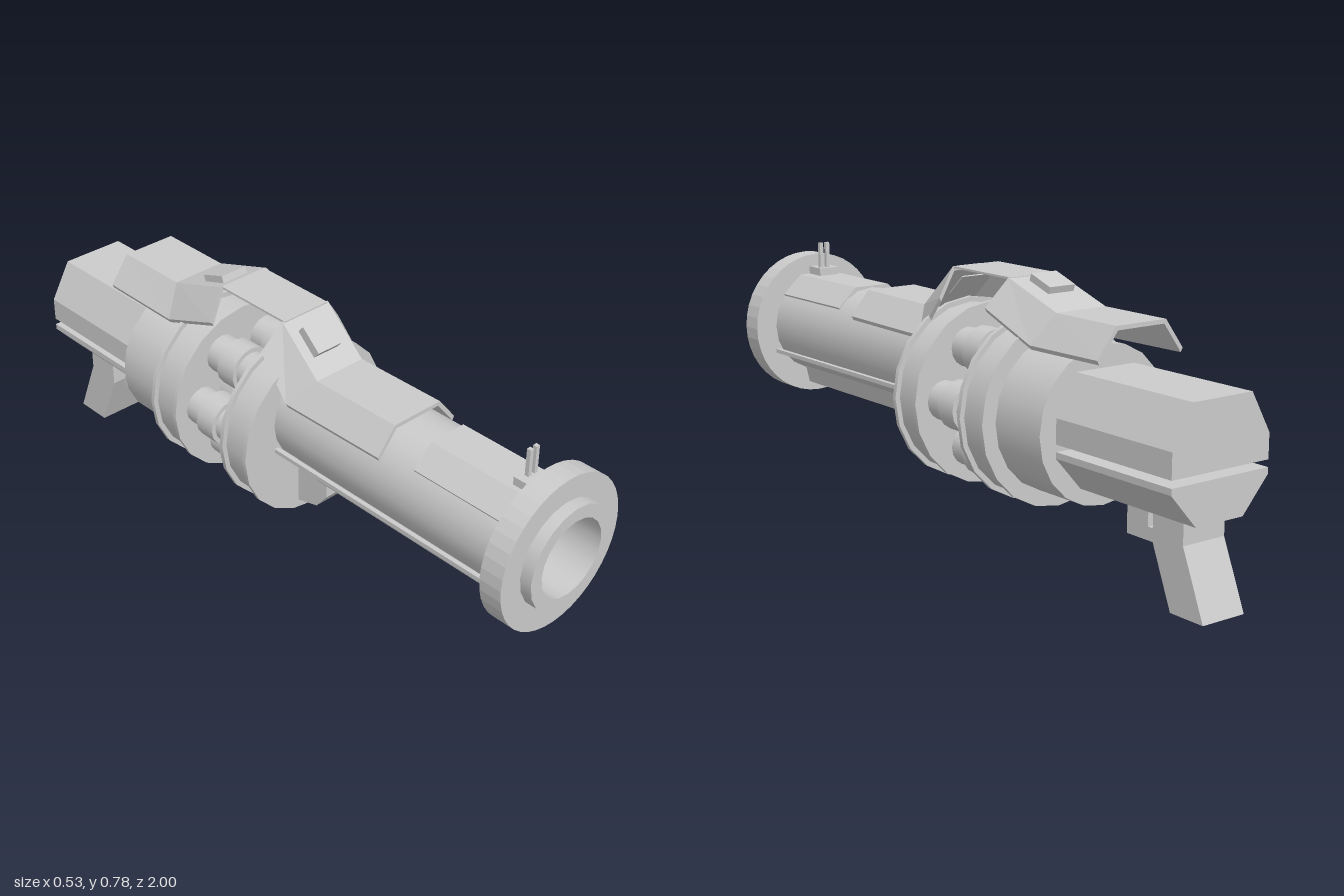
import * as THREE from 'three';

const material = new THREE.MeshStandardMaterial({ color: 0xcccccc });
const sheet = new THREE.MeshStandardMaterial({ color: 0xcccccc, flatShading: true, side: THREE.DoubleSide });
const BARREL_Y = 0.478, DRUM_Y = 0.408;

export function createModel() {
  const model = new THREE.Group();
  model.name = 'launcher';

  const add = (name, geometry, mat = material) => {
    const mesh = new THREE.Mesh(geometry, mat);
    mesh.name = name;
    model.add(mesh);
    return mesh;
  };
  // Cylinder lying along z between z0 and z1
  const rod = (name, r, z0, z1, y, x = 0, sides = 20) => {
    const g = new THREE.CylinderGeometry(r, r, Math.abs(z1 - z0), sides).rotateX(Math.PI / 2);
    return add(name, g.translate(x, y, (z0 + z1) / 2));
  };
  const box = (name, w, h, d, x, y, z, tilt = 0) => {
    const mesh = add(name, new THREE.BoxGeometry(w, h, d));
    mesh.position.set(x, y, z);
    mesh.rotation.x = tilt;
    return mesh;
  };
  const extrude = (points, depth) => new THREE.ExtrudeGeometry(
    new THREE.Shape(points.map(p => new THREE.Vector2(...p))), { depth, bevelEnabled: false });
  // Side outline given as (z, y), widened across x
  const sidePart = (name, points, width, x = 0) =>
    add(name, extrude(points, width).rotateY(-Math.PI / 2).translate(x + width / 2, 0, 0));
  // Mirrored cross-section given as (x, y) for the +x half, run along z
  const prism = (name, half, z0, z1) => {
    const points = [...half, ...half.map(([x, y]) => [-x, y]).reverse()];
    return add(name, extrude(points, z1 - z0).translate(0, 0, z0));
  };
  // Bent trapezoid plate; each station is [zTop, yTop, zLow, yLow], front to back
  const plate = (name, stations, topHalf, lowHalf, t = 0.012) => {
    const rings = stations.map(([zt, yt, zl, yl]) => {
      const outer = [[-lowHalf, yl, zl], [-topHalf, yt, zt], [topHalf, yt, zt], [lowHalf, yl, zl]];
      const inner = outer.map(([x, y, z]) => [x - Math.sign(x) * t * 0.5, y - t, z]).reverse();
      return [...outer, ...inner];
    });
    const pos = [];
    const quad = (a, b, c, d) => pos.push(...a, ...b, ...c, ...a, ...c, ...d);
    for (let i = 0; i < rings.length - 1; i++) {
      for (let j = 0; j < 8; j++) {
        const k = (j + 1) % 8;
        quad(rings[i][j], rings[i][k], rings[i + 1][k], rings[i + 1][j]);
      }
    }
    const first = rings[0], last = rings[rings.length - 1];
    for (let j = 0; j < 3; j++) {
      quad(first[j], first[7 - j], first[6 - j], first[j + 1]);
      quad(last[j], last[j + 1], last[6 - j], last[7 - j]);
    }
    const g = new THREE.BufferGeometry();
    g.setAttribute('position', new THREE.Float32BufferAttribute(pos, 3));
    g.computeVertexNormals();
    return add(name, g, sheet);
  };

  // Barrel: outer tube, muzzle lip, bore and its floor
  const tube = (name, r, z0, z1, mat) => add(name,
    new THREE.CylinderGeometry(r, r, z1 - z0, 20, 1, true).rotateX(Math.PI / 2)
      .translate(0, BARREL_Y, (z0 + z1) / 2), mat);
  const inside = new THREE.MeshStandardMaterial({ color: 0xcccccc, side: THREE.DoubleSide });
  tube('barrel', 0.155, 0.05, 1);
  tube('bore', 0.115, 0.1, 1, inside);
  add('muzzleLip', new THREE.RingGeometry(0.115, 0.155, 20).translate(0, BARREL_Y, 1));
  add('boreFloor', new THREE.CircleGeometry(0.115, 20).translate(0, BARREL_Y, 0.1));

  // Muzzle collar as a ring round the barrel
  const collar = new THREE.Shape().absarc(0, 0, 0.226, 0, Math.PI * 2);
  collar.holes.push(new THREE.Path().absarc(0, 0, 0.15, 0, Math.PI * 2, true));
  add('muzzleCollar', new THREE.ExtrudeGeometry(collar, { depth: 0.07, bevelEnabled: false, curveSegments: 20 })
    .translate(0, 0.475, 0.895));

  // Rails and fairing under the barrel
  prism('underRail', [[0.085, 0.36], [0.07, 0.295]], 0.15, 0.836);
  for (const s of [1, -1]) box('sideRail', 0.014, 0.012, 0.83, s * 0.15, 0.397, 0.48);
  sidePart('lowerFairing', [[0.18, 0.33], [0.18, 0.25], [0.14, 0.2], [0.05, 0.175], [0.05, 0.33]], 0.13);

  // Front sight on the barrel cover
  plate('barrelCover', [[0.9, 0.638, 0.9, 0.58], [0.565, 0.638, 0.565, 0.58]], 0.06, 0.123);
  box('sightBase', 0.07, 0.03, 0.07, -0.01, 0.647, 0.865);
  for (const x of [-0.014, 0.009]) box('sightPost', 0.012, 0.085, 0.012, x, 0.7, 0.85);

  // Drum end discs, each with two thin rims
  for (const [z0, z1] of [[0.062, -0.048], [-0.243, -0.355]]) {
    rod('drumDisc', 0.25, z0 - 0.002, z1 + 0.002, DRUM_Y);
    rod('drumRim', 0.265, z0, z0 - 0.013, DRUM_Y);
    rod('drumRim', 0.265, z1 + 0.013, z1, DRUM_Y);
  }

  // Six chambers round a core
  rod('drumCore', 0.1, -0.04, -0.25, DRUM_Y);
  for (let i = 0; i < 6; i++) {
    const a = i * Math.PI / 3;
    const x = 0.165 * Math.cos(a), y = DRUM_Y + 0.165 * Math.sin(a);
    rod('chamber', 0.057, -0.04, -0.25, y, x, 16);
    rod('chamberBand', 0.071, -0.115, -0.183, y, x, 16);
  }
  rod('rearHousing', 0.22, -0.35, -0.54, DRUM_Y);

  // Split rear body
  prism('upperRearBody', [[0.165, 0.38], [0.165, 0.45], [0.1, 0.563]], -0.972, -0.5);
  prism('lowerRearBody', [[0.08, 0.247], [0.165, 0.342], [0.165, 0.36]], -0.972, -0.5);

  // Grip and trigger guard
  sidePart('grip', [[-0.81, 0.26], [-0.92, 0.26], [-0.92, 0.185], [-0.997, 0], [-0.88, 0], [-0.81, 0.17]], 0.142);
  sidePart('triggerGuard', [[-0.655, 0.26], [-0.655, 0.143], [-0.83, 0.143], [-0.83, 0.18],
    [-0.735, 0.18], [-0.735, 0.26]], 0.045, -0.005);

  // Top shields joined by a thin bridge, with a raised block on each
  plate('frontShield', [[0.457, 0.647, 0.457, 0.572], [0.16, 0.643, 0.1, 0.567], [0.02, 0.77, 0, 0.69]], 0.085, 0.146);
  plate('rearShield', [[-0.235, 0.77, -0.21, 0.69], [-0.44, 0.702, -0.405, 0.617],
    [-0.675, 0.702, -0.675, 0.62]], 0.085, 0.146);
  box('shieldBridge', 0.16, 0.006, 0.265, 0, 0.767, -0.108);
  box('frontShieldBlock', 0.088, 0.04, 0.085, -0.01, 0.719, 0.088, 0.73);
  box('rearShieldBlock', 0.088, 0.04, 0.085, -0.01, 0.748, -0.303, -0.33);

  return model;
}
